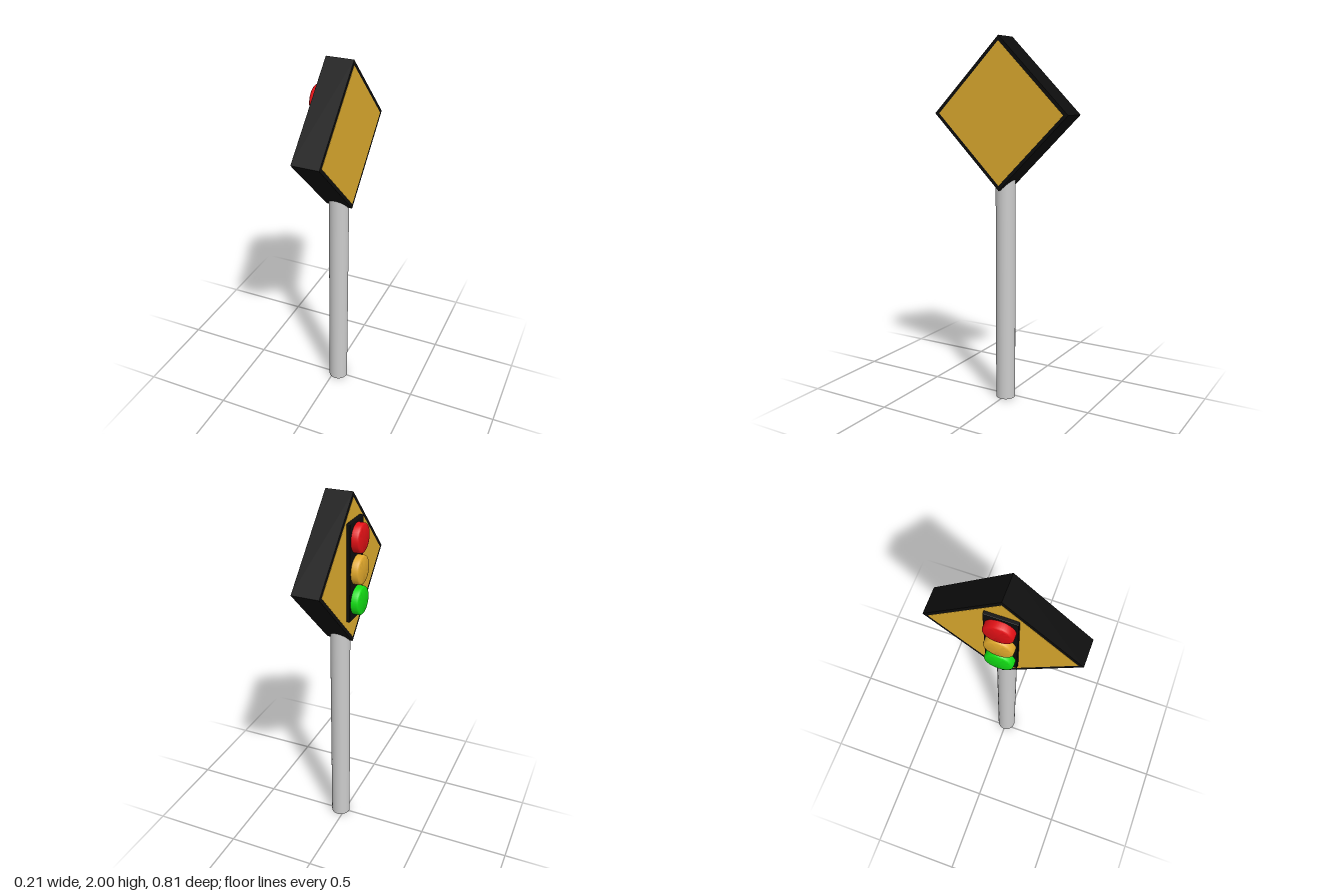
import * as THREE from 'three';
import { toCreasedNormals } from 'three/addons/utils/BufferGeometryUtils.js';
import { RoundedBoxGeometry } from 'three/addons/geometries/RoundedBoxGeometry.js';

const SIGN_Y = 1.595, SIGN_X = 0.029;

export function createModel() {
  const model = new THREE.Group();
  model.name = 'trafficSignalSign';

  const black = new THREE.MeshStandardMaterial({ color: 0x0d0d0d });
  const yellow = new THREE.MeshStandardMaterial({ color: 0xdcaa2e });
  const grey = new THREE.MeshStandardMaterial({ color: 0xcccccc });

  const add = (name, geometry, material, x, y) => {
    const mesh = new THREE.Mesh(geometry, material);
    mesh.name = name;
    mesh.position.set(x, y, 0);
    model.add(mesh);
    return mesh;
  };

  // Square slab standing on its corner, facing along x
  const diamond = (name, halfDiagonal, depth, material, x) => {
    const side = halfDiagonal * Math.SQRT2;
    add(name, new THREE.BoxGeometry(depth, side, side), material, x, SIGN_Y)
      .rotation.x = Math.PI / 4;
  };

  // Pole, its top hidden inside the sign
  add('pole', new THREE.CylinderGeometry(0.054, 0.054, 1.3, 32), grey, 0.027, 0.65);

  // Sign body with a yellow panel on each face
  diamond('signBody', 0.405, 0.148, black, SIGN_X);
  for (const [name, side] of [['leftPanel', 1], ['rightPanel', -1]]) {
    diamond(name, 0.378, 0.004, yellow, SIGN_X + side * 0.073);
  }

  // Signal backing plate
  add('signalPlate', new RoundedBoxGeometry(0.03, 0.525, 0.17, 2, 0.004), black, -0.05, 1.603);

  // Three lenses with softly rounded rims, pointing to -x
  const r = 0.077, depth = 0.045, bevel = 0.012;
  const profile = [new THREE.Vector2(0, 0), new THREE.Vector2(r, 0)];
  for (let i = 0; i <= 4; i++) {
    const a = (i / 4) * Math.PI / 2;
    profile.push(new THREE.Vector2(r - bevel + bevel * Math.cos(a), depth - bevel + bevel * Math.sin(a)));
  }
  profile.push(new THREE.Vector2(0, depth));
  const lens = toCreasedNormals(new THREE.LatheGeometry(profile, 40), 0.6);
  lens.rotateZ(Math.PI / 2);

  const lights = [['redLight', 0xe01015], ['amberLight', 0xe0a82c], ['greenLight', 0x12dc14]];
  lights.forEach(([name, color], i) => {
    add(name, lens, new THREE.MeshStandardMaterial({ color }), -0.061, 1.773 - i * 0.168);
  });

  return model;
}
